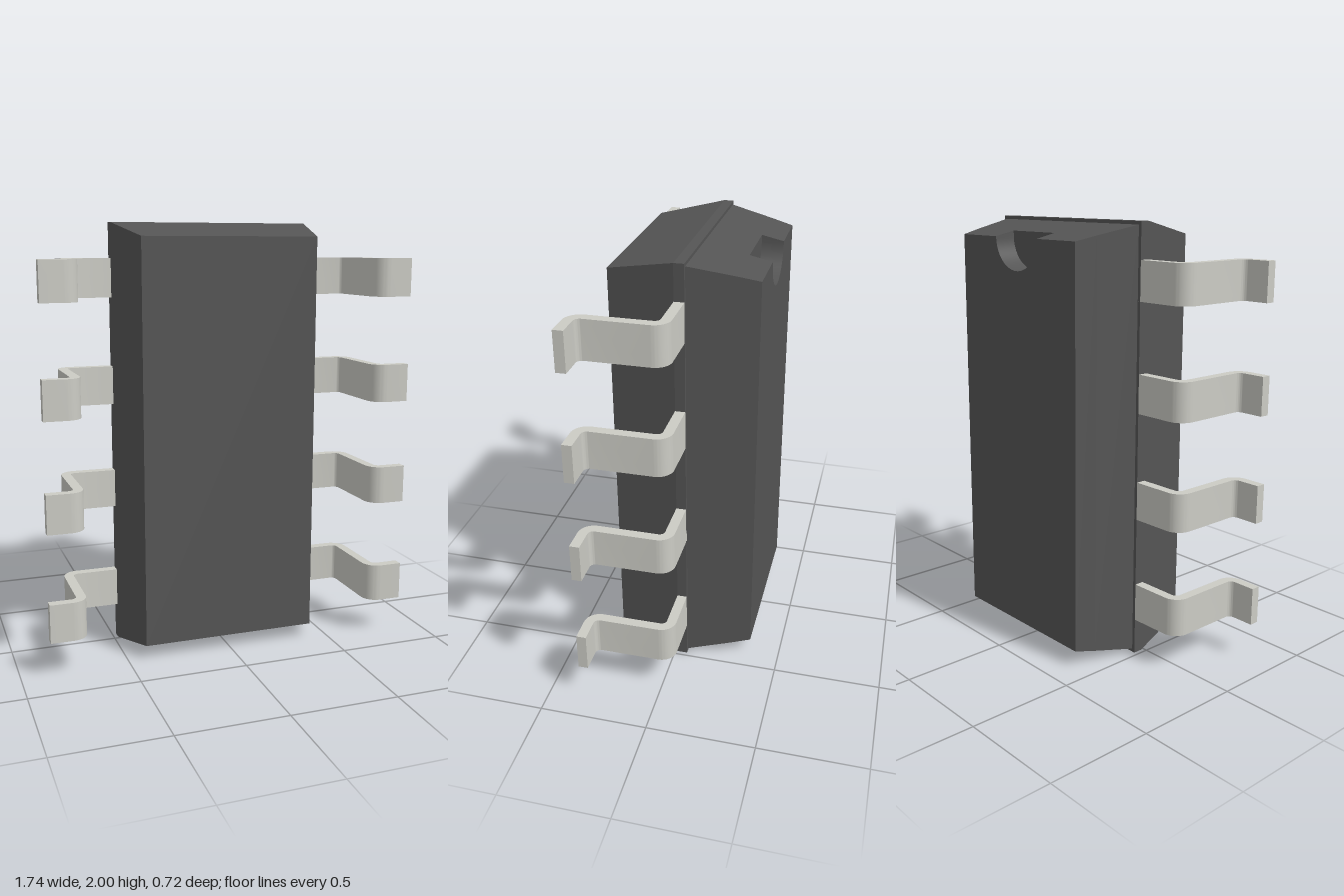
import * as THREE from 'three';
import { toCreasedNormals } from 'three/addons/utils/BufferGeometryUtils.js';

const HALF_PI = Math.PI / 2;

// Box whose depth slices take the given [z, halfWidth, halfHeight], front to back
function loft(rings) {
  const n = rings.length - 1;
  const geo = new THREE.BoxGeometry(2, 2, 1, 1, 1, n).toNonIndexed();
  const p = geo.attributes.position;
  for (let i = 0; i < p.count; i++) {
    const [z, hw, hh] = rings[Math.round((0.5 - p.getZ(i)) * n)];
    p.setXYZ(i, p.getX(i) * hw, 1 + p.getY(i) * hh, z);
  }
  geo.computeVertexNormals();
  return geo;
}

// Tapered slab with a half-round notch in its top edge
function notchedSlab(zBack, hw, hh, zFront, hwFront, hhFront, radius) {
  const shape = new THREE.Shape();
  shape.moveTo(-hw, -hh);
  shape.lineTo(hw, -hh);
  shape.lineTo(hw, hh);
  shape.lineTo(radius, hh);
  shape.absarc(0, hh, radius, 0, -Math.PI, true);
  shape.lineTo(-hw, hh);
  shape.closePath();
  const depth = zFront - zBack;
  const geo = new THREE.ExtrudeGeometry(shape, { depth, bevelEnabled: false, curveSegments: 20 });
  const p = geo.attributes.position;
  for (let i = 0; i < p.count; i++) {
    let x = p.getX(i), y = p.getY(i);
    const z = p.getZ(i);
    // Only the outer border flares towards the front
    if (z > depth / 2) {
      if (Math.abs(x) > hw - 1e-4) x = Math.sign(x) * hwFront;
      if (Math.abs(y) > hh - 1e-4) y = Math.sign(y) * hhFront;
    }
    p.setXYZ(i, x, y + 1, z + zBack);
  }
  return toCreasedNormals(geo, 0.4);
}

// Bent metal strip, drawn in the x-z plane and extruded along y
function leadGeometry(height) {
  const s = new THREE.Shape();
  s.moveTo(0.45, -0.06);
  s.lineTo(0.67, -0.06);
  s.absarc(0.67, 0.01, 0.07, -HALF_PI, 0, false);
  s.absarc(0.765, 0.285, 0.025, Math.PI, HALF_PI, true);
  s.lineTo(0.87, 0.31);
  s.lineTo(0.87, 0.355);
  s.absarc(0.765, 0.285, 0.07, HALF_PI, Math.PI, false);
  s.absarc(0.67, 0.01, 0.025, 0, -HALF_PI, true);
  s.lineTo(0.45, -0.015);
  s.closePath();
  const geo = new THREE.ExtrudeGeometry(s, { depth: height, bevelEnabled: false, curveSegments: 8 });
  geo.translate(0, 0, -height / 2);
  geo.rotateX(HALF_PI);
  return toCreasedNormals(geo, 0.5);
}

export function createModel() {
  const model = new THREE.Group();
  const plastic = new THREE.MeshStandardMaterial({ color: 0x555555 });
  const metal = new THREE.MeshStandardMaterial({ color: 0xccccc5 });

  const add = (name, geo, mat) => {
    const mesh = new THREE.Mesh(geo, mat);
    mesh.name = name;
    model.add(mesh);
    return mesh;
  };

  // Package body: front shell with a narrow rim, back shell slightly inset
  add('frontShell', loft([[0.285, 0.415, 0.935], [-0.015, 0.48, 1], [-0.06, 0.48, 1]]), plastic);
  add('backShell', loft([[-0.05, 0.465, 0.985], [-0.06, 0.465, 0.985], [-0.26, 0.422, 0.945]]), plastic);
  add('notchedBack', notchedSlab(-0.36, 0.4, 0.923, -0.26, 0.422, 0.945, 0.147), plastic);

  // Four leads on each side
  const lead = leadGeometry(0.178);
  for (let i = 0; i < 4; i++) {
    const y = 0.259 + i * 0.4967;
    add('leftLead' + (i + 1), lead, metal).position.y = y;
    const right = add('rightLead' + (i + 1), lead, metal);
    right.position.y = y;
    right.rotation.z = Math.PI;
  }
  return model;
}
